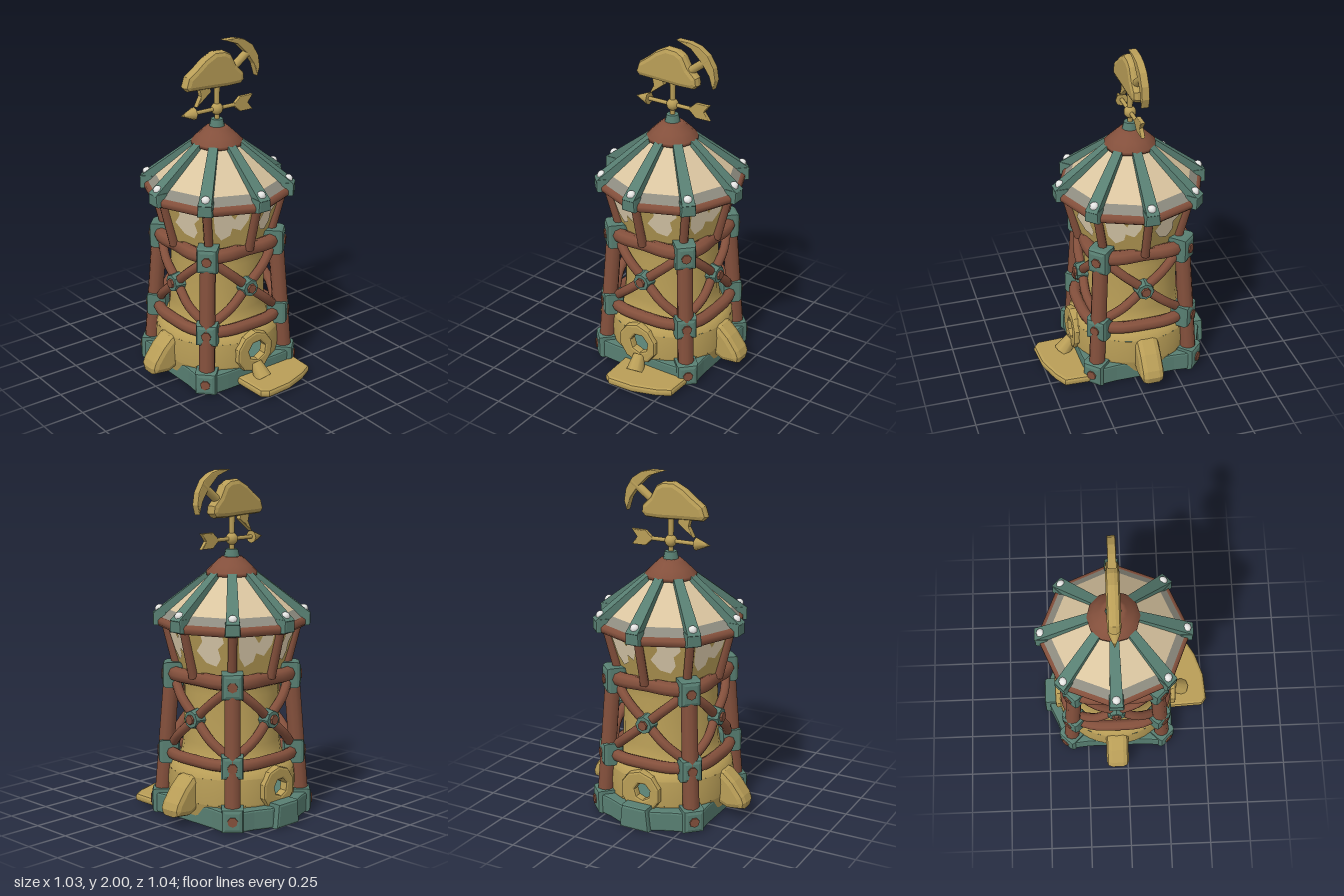
import * as THREE from 'three';

const mat = (name, color) => Object.assign(new THREE.MeshStandardMaterial({ color }), { name });

export function createModel() {
  const model = new THREE.Group();
  model.name = 'birdFeederTower';
  const tower = new THREE.Group();
  tower.name = 'tower';
  tower.position.z = -0.065;
  model.add(tower);

  const brown = mat('rust brown', 0x84503c);
  const green = mat('weathered green', 0x587f72);
  const tan = mat('ochre', 0xb99e57);
  const cream = mat('cream', 0xdac5a0);
  const pale = mat('pale pane', 0xe6d5b4);
  const grey = mat('grey trim', 0x8e8c80);
  const white = mat('bolt white', 0xf0f0ee);
  for (const m of [tan, cream, pale, grey]) m.side = THREE.DoubleSide;

  const V = (x, y, z) => new THREE.Vector3(x, y, z);
  const UP = V(0, 1, 0);
  const add = (parent, name, geo, material, x = 0, y = 0, z = 0) => {
    const mesh = new THREE.Mesh(geo, material);
    mesh.name = name;
    mesh.position.set(x, y, z);
    parent.add(mesh);
    return mesh;
  };
  const flat = (geo) => {
    const g = geo.index ? geo.toNonIndexed() : geo;
    g.computeVertexNormals();
    return g;
  };
  // straight bar between two points, ra at a and rb at b
  const rod = (parent, name, a, b, ra, rb, material, sides = 10) => {
    const d = b.clone().sub(a);
    const g = new THREE.CylinderGeometry(rb, ra, d.length(), sides);
    if (sides === 4) g.rotateY(Math.PI / 4);
    const m = add(parent, name, sides < 8 ? flat(g) : g, material);
    m.position.copy(a).add(b).multiplyScalar(0.5);
    m.quaternion.setFromUnitVectors(UP, d.normalize());
    return m;
  };
  const shape = (pts) => new THREE.Shape(pts.map(([x, y]) => new THREE.Vector2(x, y)));
  // outline extruded with a bevel, centred on z; the bevel stays inside the outline
  const slab = (pts, depth, bevel = 0.012, holes = []) => {
    const s = shape(pts);
    holes.forEach((h) => s.holes.push(shape(h)));
    const g = new THREE.ExtrudeGeometry(s, {
      depth: depth - 2 * bevel, bevelEnabled: true, bevelSize: bevel, bevelOffset: -bevel,
      bevelThickness: bevel, bevelSegments: 2, steps: 1,
    });
    return g.translate(0, 0, -depth / 2 + bevel);
  };
  const lathe = (pts, segs, start = 0, sweep = Math.PI * 2) =>
    new THREE.LatheGeometry(pts.map(([r, y]) => new THREE.Vector2(r, y)), segs, start, sweep);
  // group turned about the tower axis, its +z pointing outward
  const spoke = (name, angle) => {
    const g = new THREE.Group();
    g.name = name;
    g.rotation.y = angle;
    tower.add(g);
    return g;
  };

  // base slab and back sill
  const half = [[0, 0.42], [0.1, 0.42], [0.2, 0.375], [0.28, 0.35], [0.355, 0.28], [0.345, 0.18], [0.345, -0.18], [0.355, -0.28], [0.28, -0.35], [0.18, -0.355]];
  const outline = [...half, ...half.slice(1).reverse().map(([x, y]) => [-x, y])];
  add(tower, 'base', slab(outline, 0.12, 0.012).rotateX(-Math.PI / 2), green, 0, 0.06, 0);
  add(tower, 'backSill', slab([[-0.095, 0], [0.095, 0], [0.08, 0.14], [-0.08, 0.14]], 0.09, 0.015), green, 0, 0, -0.41);

  // lower housing: rounded wall, left open at the front and back for the rims
  const ring = (n, r, cx, cy) => Array.from({ length: n }, (_, i) => {
    const a = (i / n) * Math.PI * 2 + 0.3;
    return [cx + r * Math.cos(a), cy + r * Math.sin(a)];
  });
  const gap = 0.25;
  add(tower, 'housingFoot', lathe([[0.35, 0.05], [0.37, 0.13]], 32), tan);
  for (const a of [gap, Math.PI + gap]) {
    add(tower, 'housingSide', lathe([[0.37, 0.13], [0.373, 0.21], [0.366, 0.28]], 16, a, Math.PI - 2 * gap), tan);
  }
  add(tower, 'housingShoulder', lathe([[0.366, 0.28], [0.352, 0.315], [0.32, 0.335], [0.27, 0.34]], 32), tan);
  for (let i = 0; i < 2; i++) {
    const s = spoke('housingEnd', i * Math.PI);
    add(s, 'openingRim', slab(ring(10, 0.13, 0, 0.205), 0.055, 0.014, [ring(7, i ? 0.05 : 0.06, 0.015, 0.21)]), tan, 0, 0, 0.354);
  }

  // inner hopper wall
  add(tower, 'hopper', lathe([[0.33, 0.335], [0.295, 0.36], [0.282, 0.45], [0.278, 0.6], [0.275, 0.74], [0.28, 0.82], [0.3, 0.87]], 24), tan);

  // side spouts
  const spout = [[0.28, 0.3], [0.38, 0.285], [0.44, 0.23], [0.5, 0.15], [0.515, 0.11], [0.505, 0.07], [0.4, 0.058], [0.35, 0.08], [0.28, 0.12]];
  for (const s of [1, -1]) {
    const m = add(tower, s > 0 ? 'leftSpout' : 'rightSpout', slab(spout, 0.14, 0.035), tan);
    if (s < 0) m.rotation.y = Math.PI;
  }

  // front tray and its scoop
  const tray = [[-0.11, -0.34], [-0.1, -0.56], [-0.06, -0.59], [0.1, -0.58], [0.24, -0.535], [0.32, -0.49], [0.325, -0.34]];
  add(tower, 'tray', slab(tray, 0.05, 0.018).rotateX(-Math.PI / 2), tan, 0, 0.036, 0);
  rod(tower, 'scoop', V(0.02, 0.05, 0.43), V(0.01, 0.13, 0.37), 0.055, 0.035, tan, 9);

  // four legs with clamps and bolts
  for (let i = 0; i < 4; i++) {
    const s = spoke('legAssembly', Math.PI / 4 + (i * Math.PI) / 2);
    rod(s, 'leg', V(0, 0.03, 0.41), V(0, 0.86, 0.345), 0.048, 0.046, brown, 10);
    for (const [y, z, w, h] of [[0.07, 0.405, 0.125, 0.14], [0.365, 0.365, 0.125, 0.135], [0.82, 0.338, 0.12, 0.15]]) {
      add(s, 'clamp', slab([[-w / 2, -h / 2], [w / 2, -h / 2], [w / 2, h / 2], [-w / 2, h / 2]], 0.125, 0.024), green, 0, y, z);
      add(s, 'clampBolt', flat(new THREE.CylinderGeometry(0.029, 0.032, 0.024, 7).rotateX(Math.PI / 2)), brown, 0, y, z + 0.058);
    }
  }

  // curved rails and crossed braces, bowed between the legs and leaning in towards the top
  const onBow = (a, y) => {
    const t = (y - 0.36) / 0.47;
    const r = 0.312 - 0.038 * t + (0.04 + 0.02 * t) * Math.pow(Math.sin(2 * a), 2);
    return V(r * Math.sin(a), y, r * Math.cos(a));
  };
  for (const [y, r] of [[0.36, 0.036], [0.83, 0.044]]) {
    const pts = Array.from({ length: 32 }, (_, i) => onBow((i / 32) * Math.PI * 2, y));
    add(tower, 'rail', new THREE.TubeGeometry(new THREE.CatmullRomCurve3(pts, true), 64, r, 8, true), brown);
  }
  for (let i = 0; i < 4; i++) {
    const s = spoke('braceSide', (i * Math.PI) / 2);
    for (const d of [1, -1]) {
      const pts = [-1, -0.5, 0, 0.5, 1].map((t) => onBow((t * d * Math.PI) / 4, 0.6 + t * 0.21));
      add(s, 'brace', new THREE.TubeGeometry(new THREE.CatmullRomCurve3(pts), 16, 0.028, 8), brown);
    }
    add(s, 'braceHub', flat(new THREE.CylinderGeometry(0.05, 0.062, 0.07, 8).rotateX(Math.PI / 2)), green, 0, 0.6, 0.298);
    add(s, 'hubBolt', flat(new THREE.CylinderGeometry(0.028, 0.031, 0.02, 7).rotateX(Math.PI / 2)), brown, 0, 0.6, 0.336);
  }

  // lantern: ochre panes with pale patches
  const cone = (name, rTop, rBot, y0, y1, material, open = true) =>
    add(tower, name, flat(new THREE.CylinderGeometry(rTop, rBot, y1 - y0, 8, 1, open)), material, 0, (y0 + y1) / 2, 0);
  cone('lanternPanes', 0.385, 0.3, 0.85, 1.13, tan);
  const patches = [
    [[-0.03, 0.09], [0.03, 0.07], [0.06, 0.12], [0.05, 0.18], [0.09, 0.22], [0.08, 0.28], [-0.05, 0.28], [-0.04, 0.22], [-0.08, 0.16]],
    [[-0.09, 0.13], [-0.05, 0.07], [0.0, 0.1], [0.01, 0.15], [0.06, 0.13], [0.1, 0.2], [0.11, 0.28], [0.05, 0.28], [0.02, 0.21], [-0.03, 0.28], [-0.11, 0.28]],
  ];
  for (let i = 0; i < 8; i++) {
    const s = spoke('pane', Math.PI / 8 + (i * Math.PI) / 4);
    const p = add(s, 'panePatch', new THREE.ShapeGeometry(shape(patches[i % 2])), pale, 0, 0.85, 0.282);
    p.rotation.x = Math.atan2(0.0785, 0.28);
  }

  // roof skin, trim, cap and finial
  cone('roofTrim', 0.37, 0.425, 1.15, 1.2, grey);
  cone('roofPanels', 0.12, 0.37, 1.2, 1.415, cream);
  cone('soffit', 0.41, 0.385, 1.115, 1.13, brown, false);
  add(tower, 'roofCap', lathe([[0.1, 1.4], [0.148, 1.4], [0.15, 1.42], [0.115, 1.455], [0.078, 1.49], [0.06, 1.505], [0, 1.505]], 12), brown);
  add(tower, 'finial', new THREE.CylinderGeometry(0.036, 0.047, 0.05, 10), green, 0, 1.522, 0);

  // eight lantern posts, eaves, ribs and rib bolts
  for (let i = 0; i < 8; i++) {
    const s = spoke('roofSpoke', (i * Math.PI) / 4);
    rod(s, 'lanternPost', V(0, 0.84, 0.31), V(0, 1.14, 0.385), 0.026, 0.026, brown, 8);
    const q = Math.PI / 4;
    rod(s, 'eave', V(0, 1.13, 0.412), V(0.412 * Math.sin(q), 1.13, 0.412 * Math.cos(q)), 0.029, 0.029, brown, 8);
    rod(s, 'roofRib', V(0, 1.405, 0.12), V(0, 1.152, 0.43), 0.037, 0.053, green, 4);
    add(s, 'ribEnd', slab([[-0.044, -0.04], [0.044, -0.04], [0.04, 0.035], [-0.04, 0.035]], 0.08, 0.01), green, 0, 1.152, 0.412);
    const bolt = add(s, 'ribBolt', new THREE.SphereGeometry(0.027, 8, 6), white, 0, 1.202, 0.415);
    bolt.rotation.x = 0.3;
  }

  // weathervane
  const vane = new THREE.Group();
  vane.name = 'weathervane';
  tower.add(vane);
  rod(vane, 'vaneRod', V(0, 1.52, 0), V(0, 1.76, 0), 0.014, 0.018, tan, 10);
  add(vane, 'vaneBall', new THREE.SphereGeometry(0.036, 12, 8), tan, 0, 1.605, 0);
  rod(vane, 'arrowShaft', V(-0.18, 1.605, 0), V(0.2, 1.605, 0), 0.012, 0.012, tan, 9);
  rod(vane, 'arrowHead', V(-0.16, 1.605, 0), V(-0.25, 1.605, 0), 0.038, 0.001, tan, 8);
  const fletch = [[0.11, 1.605], [0.16, 1.65], [0.25, 1.65], [0.215, 1.605], [0.25, 1.56], [0.16, 1.56]].reverse();
  add(vane, 'arrowTail', slab(fletch, 0.025, 0.005), tan);
  add(vane, 'rockSpur', slab([[-0.15, 1.64], [-0.05, 1.715], [-0.06, 1.76], [-0.13, 1.74], [-0.12, 1.7]], 0.035, 0.006), tan);

  // boulder
  const boulder = [[-0.235, 1.765], [-0.21, 1.74], [-0.08, 1.735], [0.06, 1.728], [0.15, 1.73], [0.178, 1.755], [0.172, 1.8],
    [0.12, 1.85], [0.085, 1.915], [0.04, 1.94], [-0.03, 1.945], [-0.1, 1.91], [-0.15, 1.87], [-0.215, 1.825]];
  add(vane, 'rock', slab(boulder, 0.075, 0.028), tan);

  // pickaxe
  rod(vane, 'pickHandle', V(0.09, 1.81, 0), V(0.245, 1.925, 0), 0.024, 0.024, tan, 9);
  const pick = [[0.035, 2], [0.13, 1.965], [0.2, 1.9], [0.25, 1.83], [0.275, 1.755], [0.292, 1.81], [0.28, 1.88], [0.24, 1.945], [0.18, 1.985], [0.12, 2]];
  add(vane, 'pickHead', slab(pick, 0.045, 0.006), tan);

  return model;
}
